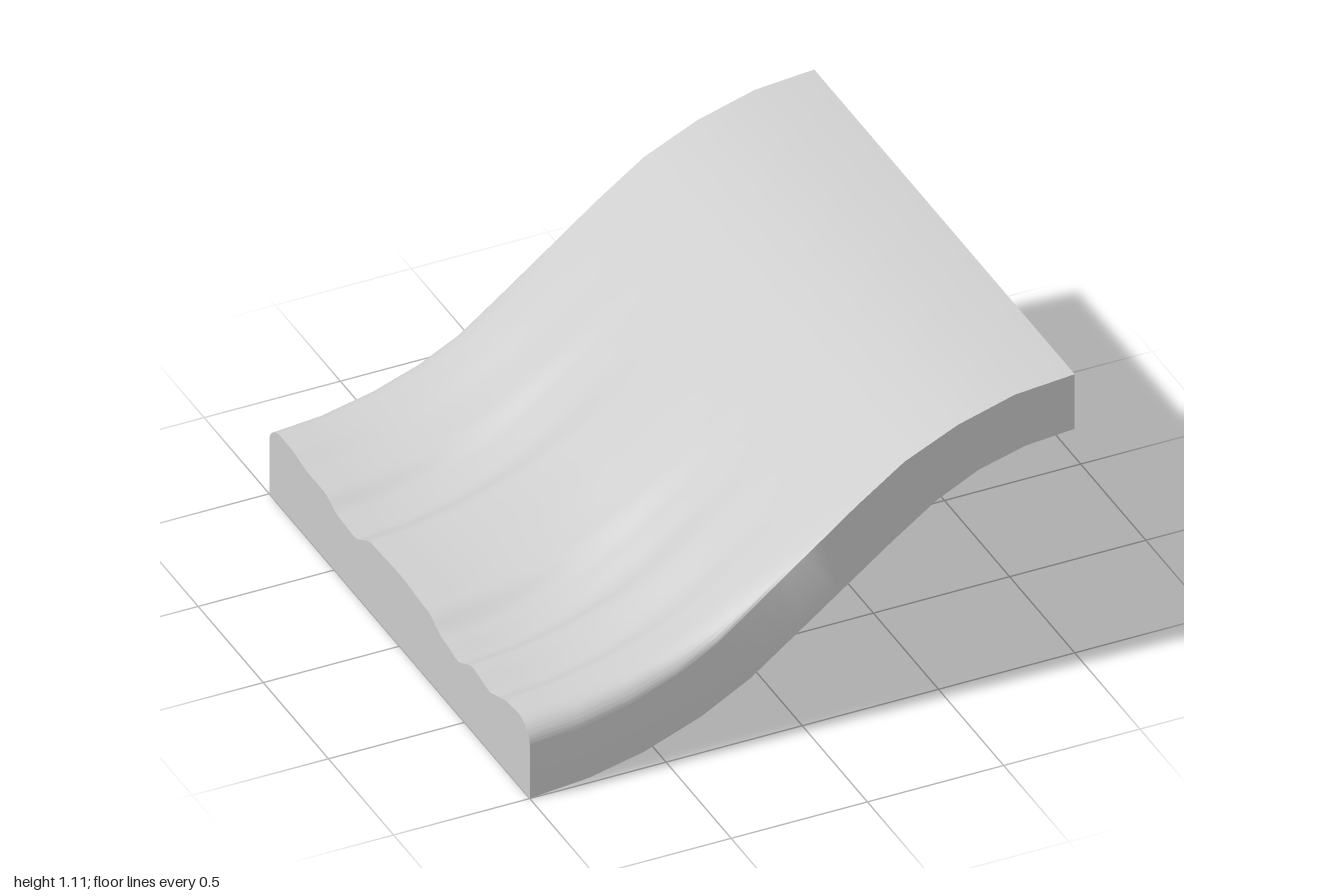
import * as THREE from 'three';
import { toCreasedNormals } from 'three/addons/utils/BufferGeometryUtils.js';

// Side profile stations: [top x, top y, bottom x, bottom y]
const stations = [
  [-1, 0.22, -1, 0], [-0.82, 0.235, -0.78, 0.02], [-0.63, 0.277, -0.58, 0.065],
  [-0.46, 0.342, -0.37, 0.145], [-0.31, 0.425, -0.19, 0.245], [0.2, 0.82, 0.33, 0.64],
  [0.375, 0.945, 0.49, 0.755], [0.57, 1.035, 0.65, 0.835], [0.78, 1.095, 0.82, 0.88],
  [1, 1.113, 1, 0.895],
];

// Ridge heights across the low end: [z, height], eased between keys
const ridges = [
  [-1, 0.062], [-0.84, 0.062], [-0.7, 0.045], [-0.58, 0.045], [-0.47, 0.012], [-0.35, 0.006],
  [-0.21, 0.06], [0, 0.068], [0.21, 0.054], [0.34, 0.01], [0.45, -0.008], [0.56, 0.036],
  [0.71, 0.018], [0.83, 0.06], [0.9, 0.068], [1, 0.068],
];

function ridgeHeight(z) {
  let i = 0;
  while (i < ridges.length - 2 && z > ridges[i + 1][0]) i++;
  const [z0, h0] = ridges[i], [z1, h1] = ridges[i + 1];
  const h = h0 + (h1 - h0) * THREE.MathUtils.smoothstep(z, z0, z1);
  // rounded shoulders along both side edges
  const u = Math.max(0, (Math.abs(z) - 0.91) / 0.09);
  return -0.01 + (h + 0.01) * Math.sqrt(Math.max(0, 1 - u * u));
}

// Subdivide each span evenly, finer on the straight slope where the ridges fade out
function columns() {
  const out = [];
  for (let i = 0; i < stations.length - 1; i++) {
    const n = i === 4 ? 8 : i < 4 ? 2 : 1;
    for (let k = 0; k < n; k++) {
      out.push(stations[i].map((v, j) => v + (stations[i + 1][j] - v) * k / n));
    }
  }
  out.push(stations[stations.length - 1]);
  return out;
}

function slabGeometry() {
  const steps = 128, pos = [], index = [];
  const cols = columns(), ring = steps + 4;
  for (const [tx, ty, bx, by] of cols) {
    const fade = 1 - THREE.MathUtils.smoothstep(tx, -0.7, 0.2);
    pos.push(bx, by, 0, bx, by, -1);
    for (let s = 0; s <= steps; s++) {
      const z = Math.sin((s / steps - 0.5) * Math.PI);
      pos.push(tx, ty + fade * ridgeHeight(z), z);
    }
    pos.push(bx, by, 1);
  }
  // skin between neighbouring cross-sections
  for (let c = 0; c < cols.length - 1; c++) {
    for (let i = 0; i < ring; i++) {
      const a = c * ring + i, b = c * ring + (i + 1) % ring;
      index.push(a, b, a + ring, b, b + ring, a + ring);
    }
  }
  // end caps
  const last = (cols.length - 1) * ring;
  for (let i = 1; i < ring - 1; i++) {
    index.push(0, i + 1, i, last, last + i, last + i + 1);
  }
  const g = new THREE.BufferGeometry();
  g.setAttribute('position', new THREE.Float32BufferAttribute(pos, 3));
  g.setIndex(index);
  return toCreasedNormals(g, THREE.MathUtils.degToRad(40));
}

export function createModel() {
  const group = new THREE.Group();
  group.name = 'curvedSlope';
  const grey = new THREE.MeshStandardMaterial({ color: 0xcccccc });
  grey.name = 'light grey';
  const slab = new THREE.Mesh(slabGeometry(), grey);
  slab.name = 'rippledSlab';
  group.add(slab);
  return group;
}
